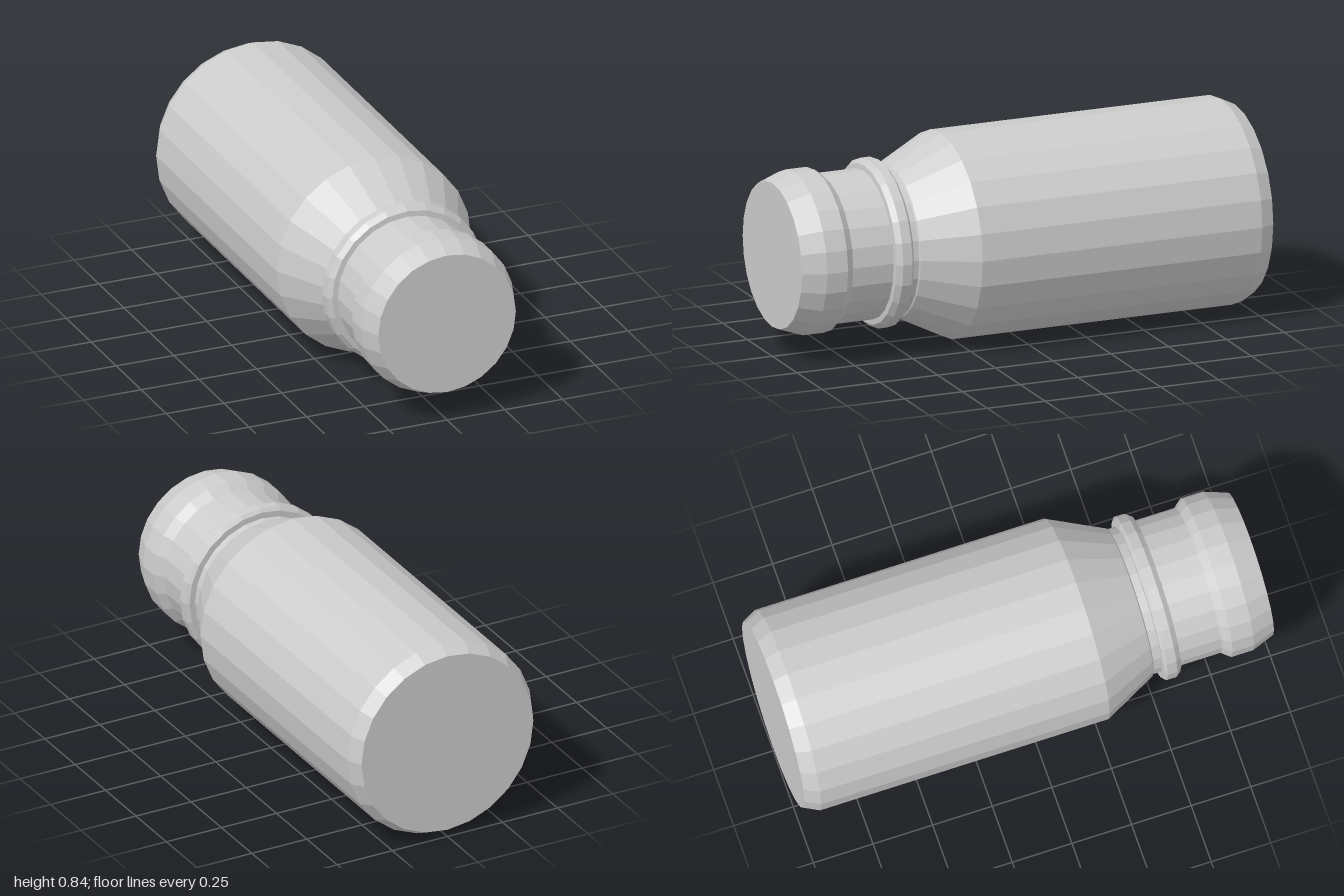
import * as THREE from 'three';

const SIDES = 24;
const AXIS_HEIGHT = 0.422;

// Each profile lists [z, radius] from back to front.
const profiles = {
  body: [[-1, 0], [-1, 0.39], [-0.94, 0.42], [0.27, 0.42]],
  shoulder: [[0.27, 0.42], [0.49, 0.31]],
  neck: [[0.49, 0.31], [0.495, 0.303], [0.78, 0.303]],
  collarRing: [[0.528, 0.3], [0.528, 0.328], [0.54, 0.342], [0.58, 0.342], [0.602, 0.325], [0.605, 0.3]],
  tip: [[0.78, 0.303], [0.815, 0.332], [0.905, 0.332], [1, 0.298], [1, 0]],
};

export function createModel() {
  const model = new THREE.Group();
  model.name = 'bottle';
  const material = new THREE.MeshStandardMaterial({ color: 0xcccccc, flatShading: true });

  // Every part is turned around the same horizontal axis.
  for (const [name, profile] of Object.entries(profiles)) {
    const points = profile.map(([z, r]) => new THREE.Vector2(r, z));
    const geometry = new THREE.LatheGeometry(points, SIDES);
    geometry.rotateX(Math.PI / 2);
    const mesh = new THREE.Mesh(geometry, material);
    mesh.name = name;
    mesh.position.y = AXIS_HEIGHT;
    model.add(mesh);
  }
  return model;
}
